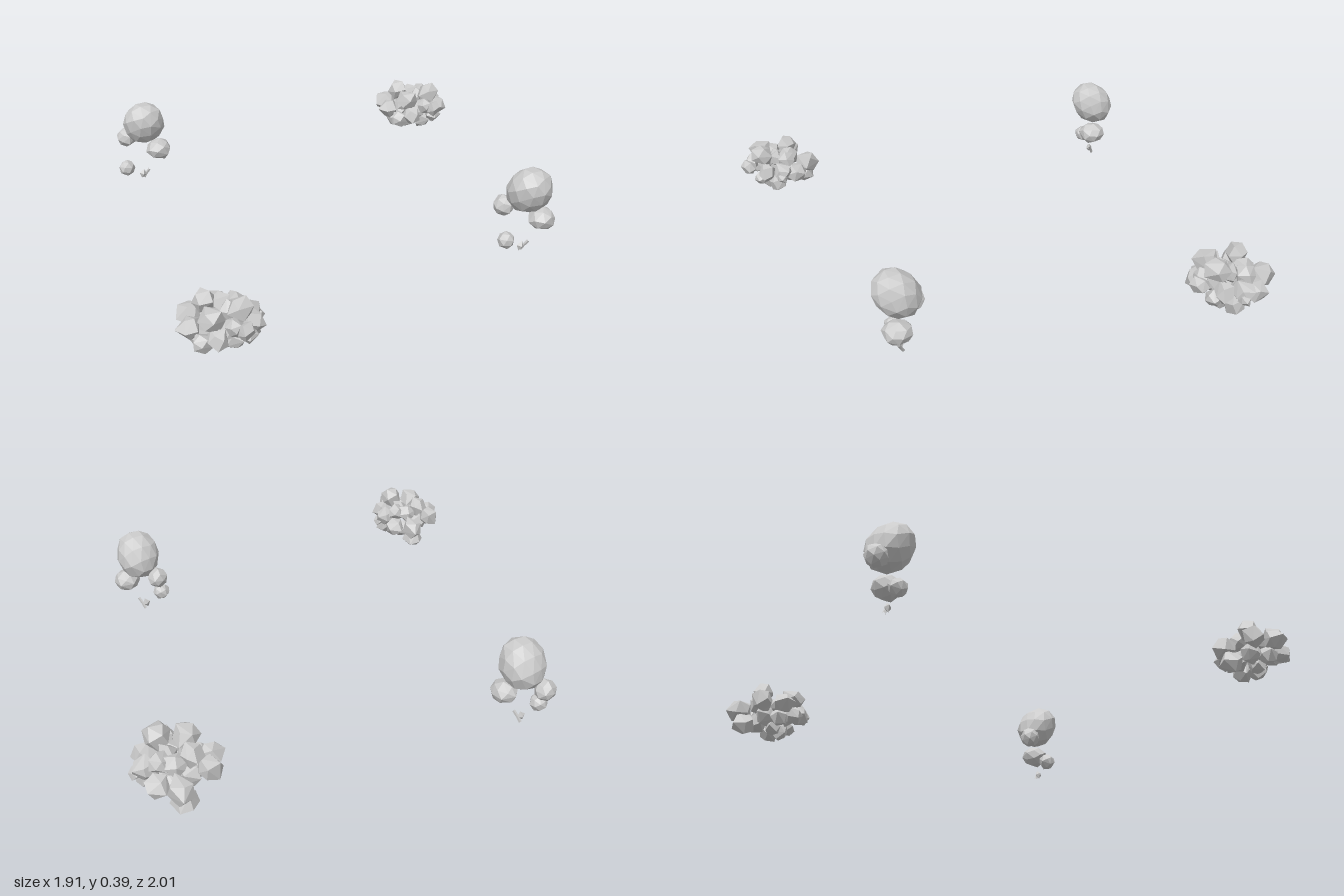
import * as THREE from 'three';
import { ConvexGeometry } from 'three/addons/geometries/ConvexGeometry.js';

const material = new THREE.MeshStandardMaterial({ color: 0xcccccc, flatShading: true });

function seeded(seed) {
  let s = seed * 7919 + 13;
  return () => {
    s = (s * 16807) % 2147483647;
    return s / 2147483647;
  };
}

// Faceted lump: jittered points spread on a sphere, wrapped in a convex hull
function lump(name, [x, y, z, r], seed, count, jitter) {
  const rand = seeded(seed);
  for (let i = 0; i < 5; i++) rand();
  const points = [];
  for (let i = 0; i < count; i++) {
    const h = 1 - (2 * (i + 0.5)) / count;
    const a = i * 2.39996 + rand() * jitter;
    const ring = Math.sqrt(1 - h * h);
    const size = r * (1 + (rand() - 0.5) * jitter);
    points.push(new THREE.Vector3(ring * Math.cos(a), h, ring * Math.sin(a)).multiplyScalar(size));
  }
  const mesh = new THREE.Mesh(new ConvexGeometry(points), material);
  mesh.name = name;
  mesh.position.set(x, y, z);
  mesh.rotation.set(rand() * 6, rand() * 6, rand() * 6);
  return mesh;
}

// Rock centres relative to the pile's axis: x, y, z, radius
const rocks = [
  [0.01, 0.155, -0.14, 0.06], [-0.005, 0.08, -0.12, 0.055],
  [-0.11, 0.17, -0.065, 0.055], [-0.135, 0.165, 0.025, 0.055],
  [-0.06, 0.22, 0.085, 0.055], [0.05, 0.245, 0.09, 0.056],
  [0.11, 0.17, 0.08, 0.05], [0.125, 0.17, 0.0, 0.05],
  [0.09, 0.135, -0.075, 0.055], [0.01, 0.205, -0.05, 0.05],
  [-0.05, 0.235, -0.05, 0.05], [0.055, 0.185, 0.16, 0.042],
  [-0.05, 0.15, 0.13, 0.05], [0.155, 0.15, 0.01, 0.028],
  [0.03, 0.2, 0.02, 0.045], [0.065, 0.21, -0.03, 0.05],
  [0.11, 0.11, 0.03, 0.048], [-0.09, 0.11, 0.02, 0.048],
  [-0.02, 0.08, 0.01, 0.042], [0.04, 0.095, 0.06, 0.048],
  [0.04, 0.12, -0.05, 0.05], [-0.04, 0.13, -0.03, 0.05],
  [0.0, 0.16, 0.09, 0.05], [-0.1, 0.13, 0.09, 0.045],
  [0.015, 0.2, 0.14, 0.04], [0.08, 0.13, 0.11, 0.04],
  [-0.045, 0.18, 0.01, 0.045],
];

function rockPile(name, x, z, scale) {
  const group = new THREE.Group();
  group.name = name;
  rocks.forEach((rock, i) => group.add(lump('rock', rock, i + 1, 12, 0.35)));
  group.position.set(x, 0.02 * (1 - scale), z);
  group.scale.setScalar(scale);
  return group;
}

// Rounded clumps floating over a small twig
function foliage(name, x, z) {
  const group = new THREE.Group();
  group.name = name;

  // Crown: egg shape leaning forward at the top
  const crown = new THREE.Group();
  crown.name = 'crown';
  crown.add(lump('crownClump', [0, 0, 0, 0.098], 51, 48, 0.06));
  crown.position.set(0, 0.296, 0.002);
  crown.scale.set(1, 1.17, 0.93);
  crown.rotation.x = 0.65;
  group.add(crown);

  // Middle: slightly flattened clump below the crown
  const middle = new THREE.Group();
  middle.name = 'middle';
  middle.add(lump('middleClump', [0, 0, 0, 0.063], 52, 26, 0.12));
  middle.position.set(0.06, 0.158, 0.018);
  middle.scale.set(0.96, 0.8, 1);
  group.add(middle);

  group.add(lump('backClump', [-0.073, 0.202, -0.077, 0.048], 53, 24, 0.12));
  group.add(lump('lowClump', [-0.097, 0.076, 0.002, 0.039], 54, 22, 0.12));

  // Twig with a small leaf-like tip
  const path = new THREE.CatmullRomCurve3([
    new THREE.Vector3(-0.012, 0.006, -0.016),
    new THREE.Vector3(-0.003, 0.028, -0.006),
    new THREE.Vector3(0.012, 0.055, 0.008),
  ]);
  const twig = new THREE.Mesh(new THREE.TubeGeometry(path, 4, 0.007, 5), material);
  twig.name = 'twig';
  group.add(twig);
  const leaf = new THREE.Mesh(new THREE.OctahedronGeometry(0.024), material);
  leaf.name = 'leaf';
  leaf.position.set(-0.02, 0.029, -0.005);
  leaf.scale.set(0.75, 1, 0.6);
  leaf.rotation.z = -0.3;
  group.add(leaf);

  group.position.set(x, 0, z);
  return group;
}

export function createModel() {
  const model = new THREE.Group();
  model.name = 'rocksAndFoliage';
  model.add(rockPile('backLeftRocks', 0.77, -0.805, 1));
  model.add(rockPile('frontRightRocks', -0.78, 0.812, 0.92));
  model.add(foliage('frontLeftFoliage', 0.662, 0.567));
  model.add(foliage('backRightFoliage', -0.666, -0.766));
  return model;
}
